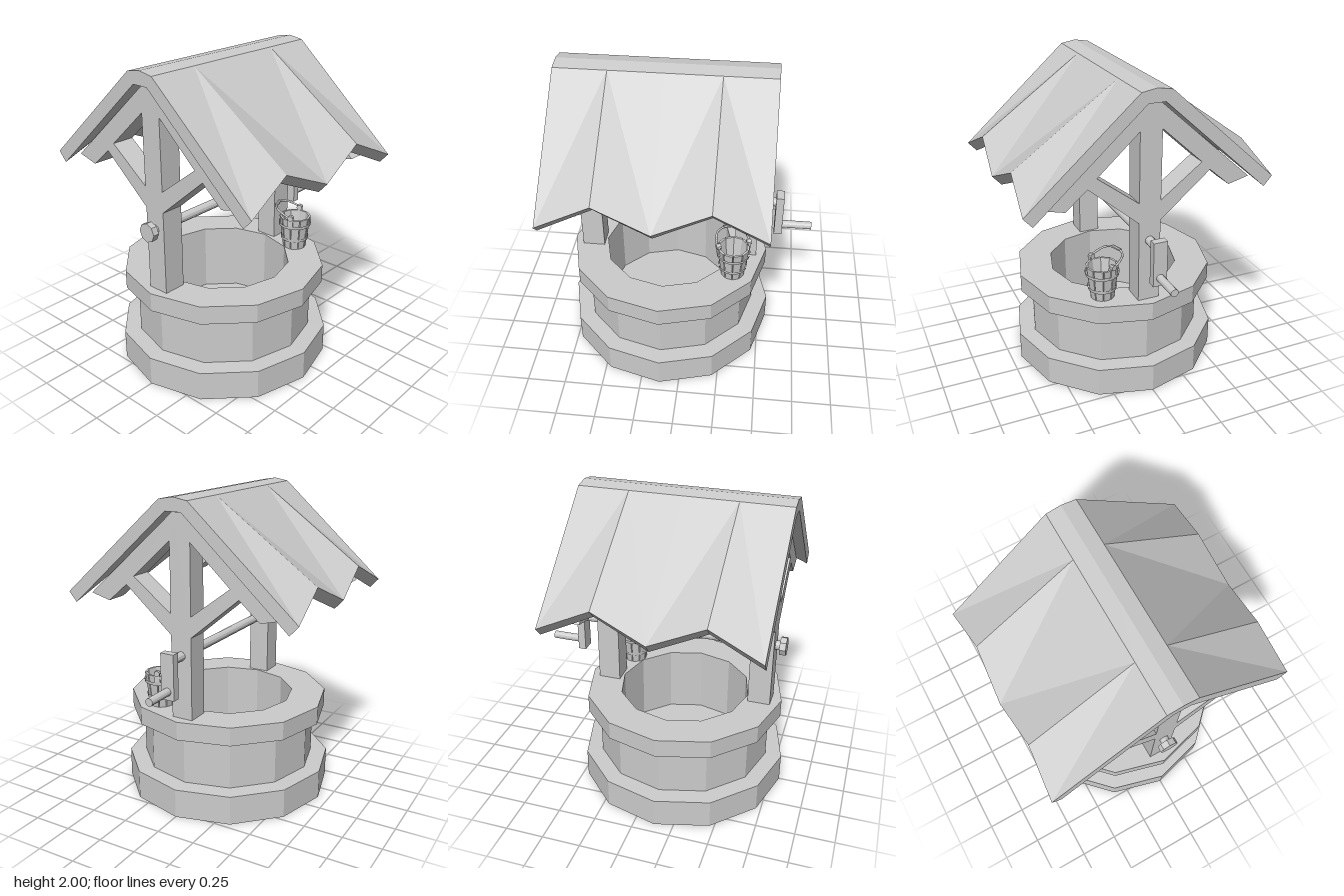
import * as THREE from 'three';

const CX = -0.128; // centre of the well along x
const mat = new THREE.MeshStandardMaterial({ color: 0xcccccc, flatShading: true });
const smooth = new THREE.MeshStandardMaterial({ color: 0xcccccc });
const twoSided = new THREE.MeshStandardMaterial({ color: 0xcccccc, flatShading: true, side: THREE.DoubleSide });

function add(parent, name, geometry, x = 0, y = 0, z = 0, material = mat) {
  const mesh = new THREE.Mesh(geometry, material);
  mesh.name = name;
  mesh.position.set(x, y, z);
  parent.add(mesh);
  return mesh;
}

// cylinder lying along x, from x0 to x1
function rod(parent, name, x0, x1, y, r, sides, material = mat) {
  const g = new THREE.CylinderGeometry(r, r, x1 - x0, sides).rotateZ(Math.PI / 2);
  return add(parent, name, g, (x0 + x1) / 2, y, 0, material);
}

// twelve-sided wall: base step, drum, overhanging rim and open shaft
function wallGeometry() {
  const profile = [[0, 0], [0.683, 0], [0.683, 0.19], [0.575, 0.195], [0.575, 0.52],
    [0.653, 0.52], [0.653, 0.64], [0.43, 0.64], [0.43, 0.19], [0, 0.19]];
  return new THREE.LatheGeometry(profile.map(p => new THREE.Vector2(...p)), 12);
}

// post, rafters and braces as one cut-out panel
function frameGeometry() {
  const half = [[0.07, 0.63], [0.07, 1.17], [0.39, 1.443], [0.525, 1.326], [0.66, 1.36], [0.05, 1.905]];
  const mirrored = half.map(([z, y]) => [-z, y]).reverse();
  const shape = new THREE.Shape([...half, ...mirrored].map(p => new THREE.Vector2(...p)));
  for (const s of [-1, 1]) {
    const hole = [[0.07, 1.3], [0.333, 1.5], [0.07, 1.74]];
    shape.holes.push(new THREE.Path(hole.map(([z, y]) => new THREE.Vector2(s * z, y))));
  }
  const g = new THREE.ExtrudeGeometry(shape, { depth: 0.145, bevelEnabled: false });
  return g.translate(0, 0, -0.0725).rotateY(Math.PI / 2);
}

// roof: cross-sections along x with alternating low and raised eaves
function roofGeometry() {
  const sections = [-0.78, -0.46, CX, 0.205, 0.525].map((x, i) => {
    const [zo, yo, zi, yi] = i % 2 ? [0.757, 1.508, 0.7, 1.45] : [0.79, 1.365, 0.735, 1.303];
    return [[zo, yo], [0.095, 1.984], [0, 2], [-0.095, 1.984], [-zo, yo],
      [-zi, yi], [-0.053, 1.917], [0.053, 1.917], [zi, yi]].map(([z, y]) => [x, y, z]);
  });
  const pos = [];
  const tri = (...pts) => pts.forEach(p => pos.push(...p));
  for (let i = 0; i < 4; i++) {
    for (let j = 0; j < 9; j++) {
      const k = (j + 1) % 9;
      const a = sections[i][j], b = sections[i][k], c = sections[i + 1][k], d = sections[i + 1][j];
      // folds run from the ridge above a raised eave to the low eave
      if ((i % 2 === 1) !== (j === 3 || j === 7)) { tri(a, d, b); tri(d, c, b); }
      else { tri(a, d, c); tri(a, c, b); }
    }
  }
  // gable ends
  const caps = [[0, 1, 7], [0, 7, 8], [1, 2, 3], [1, 3, 6], [1, 6, 7], [3, 4, 5], [3, 5, 6]];
  for (const [a, b, c] of caps) {
    const s = sections[0], e = sections[4];
    tri(s[a], s[b], s[c]);
    tri(e[c], e[b], e[a]);
  }
  const g = new THREE.BufferGeometry();
  g.setAttribute('position', new THREE.Float32BufferAttribute(pos, 3));
  g.computeVertexNormals();
  return g;
}

// slatted bucket with hoops and a tilted bail; local y = 0 is its foot
function createBucket() {
  const bucket = new THREE.Group();
  bucket.name = 'bucket';
  const height = 0.22, staves = 10, rTop = 0.1, rFoot = 0.073;

  for (let i = 0; i < staves; i++) {
    const g = new THREE.BoxGeometry(1, height, 0.014);
    const p = g.attributes.position;
    for (let v = 0; v < p.count; v++) {
      const r = p.getY(v) > 0 ? rTop : rFoot;
      const width = 2 * r * Math.tan(Math.PI / staves) * 0.87;
      p.setXYZ(v, p.getX(v) * width, p.getY(v) + height / 2, p.getZ(v) + r - 0.007);
    }
    g.rotateY((i / staves) * Math.PI * 2);
    add(bucket, 'stave', g);
  }
  add(bucket, 'bucketFloor', new THREE.CylinderGeometry(0.072, 0.069, 0.015, staves), 0, 0.03, 0);

  for (const [y, r] of [[0.07, 0.09], [0.17, 0.106]]) {
    const hoop = new THREE.CylinderGeometry(r + 0.003, r, 0.022, 20, 1, true);
    add(bucket, 'hoop', hoop, 0, y, 0, twoSided);
  }

  // ears where the bail pivots
  for (const s of [-1, 1]) {
    add(bucket, 'earPlate', new THREE.BoxGeometry(0.012, 0.08, 0.035), s * 0.1, 0.21, 0);
    const pin = new THREE.CylinderGeometry(0.018, 0.018, 0.03, 10).rotateZ(Math.PI / 2);
    add(bucket, 'earPin', pin, s * 0.1, 0.24, 0);
  }
  const arc = [[-0.108, 0], [-0.1, 0.06], [-0.075, 0.11], [0, 0.135], [0.075, 0.11], [0.1, 0.06], [0.108, 0]];
  const curve = new THREE.CatmullRomCurve3(arc.map(([x, y]) => new THREE.Vector3(x, y, 0)));
  const bail = add(bucket, 'bail', new THREE.TubeGeometry(curve, 28, 0.007, 6), 0, 0.24, 0, smooth);
  bail.rotation.x = -1.18;
  const grip = new THREE.CylinderGeometry(0.011, 0.011, 0.07, 8).rotateZ(Math.PI / 2);
  add(bail, 'bailGrip', grip, 0, 0.133, 0);

  bucket.position.set(0.312, 0.64, 0.25);
  bucket.rotation.y = 0.34;
  return bucket;
}

export function createModel() {
  const model = new THREE.Group();
  model.name = 'well';

  add(model, 'stoneWall', wallGeometry(), CX, 0, 0);
  const frame = frameGeometry();
  add(model, 'rightFrame', frame, CX - 0.515, 0, 0);
  add(model, 'leftFrame', frame, CX + 0.515, 0, 0);
  add(model, 'roof', roofGeometry());

  // windlass
  rod(model, 'axle', -0.76, 0.58, 1.047, 0.029, 12);
  rod(model, 'axleKnob', -0.785, -0.745, 1.047, 0.06, 8);
  add(model, 'crankArm', new THREE.BoxGeometry(0.05, 0.29, 0.09), 0.59, 0.961, 0);
  rod(model, 'crankHandle', 0.6, 0.805, 0.87, 0.025, 12);

  model.add(createBucket());
  return model;
}
